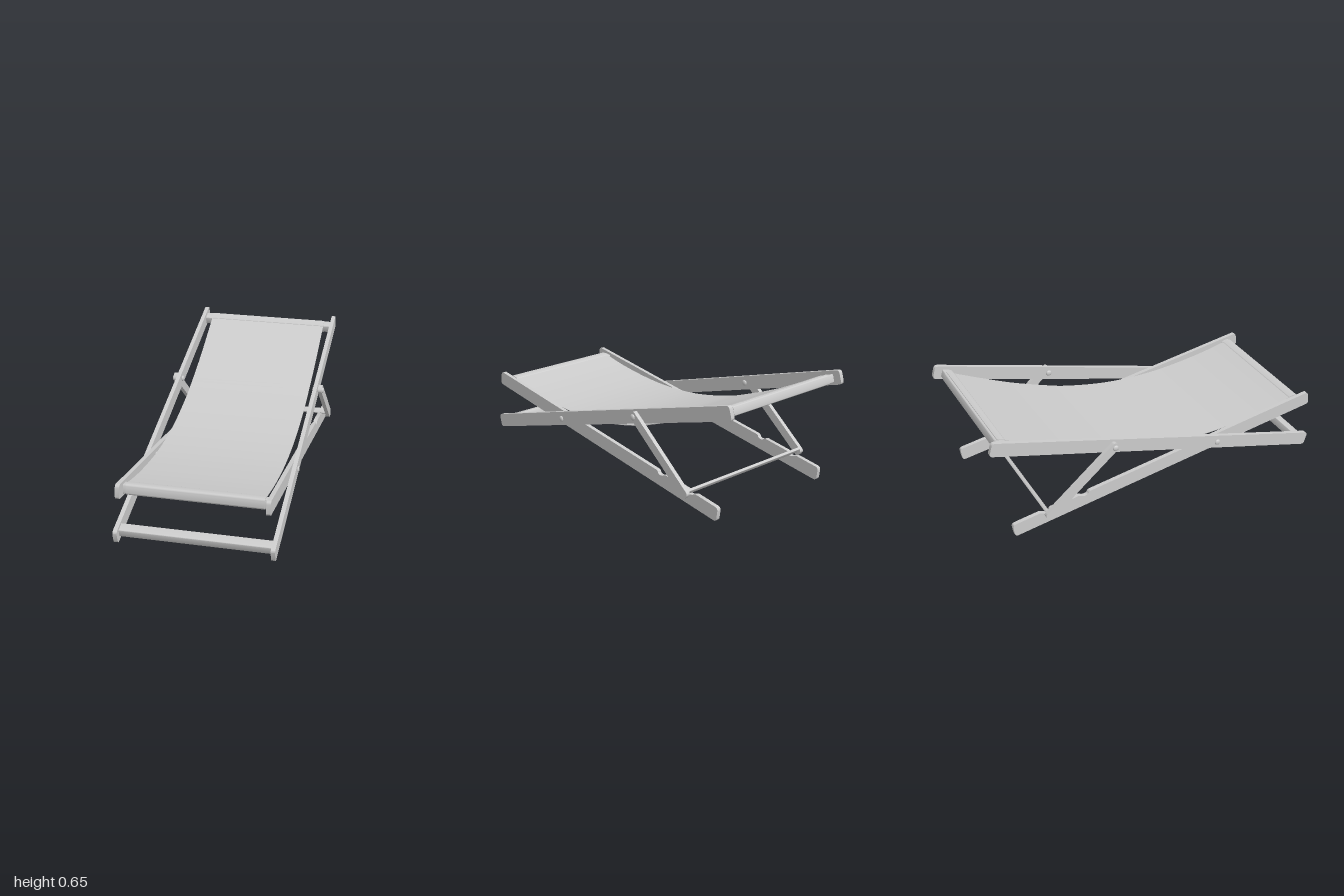
import * as THREE from 'three';
import { toCreasedNormals } from 'three/addons/utils/BufferGeometryUtils.js';

const material = new THREE.MeshStandardMaterial({ color: 0xcccccc });

// Side profile (shape x = model z, shape y = model y) extruded across x, centred at x.
function slab(name, shape, x, thickness, angle = 0, z = 0, y = 0) {
  const geo = new THREE.ExtrudeGeometry(shape, { depth: thickness, bevelEnabled: false, curveSegments: 6 });
  geo.translate(0, 0, -thickness / 2);
  geo.rotateZ(angle);
  geo.rotateY(-Math.PI / 2);
  geo.translate(x, y, z);
  const mesh = new THREE.Mesh(toCreasedNormals(geo, 0.6), material);
  mesh.name = name;
  return mesh;
}

// Rounded rectangle, with optional notches cut in its top edge.
function plank(length, width, r, notches = []) {
  const a = length / 2, b = width / 2, s = new THREE.Shape();
  s.moveTo(-a + r, -b);
  s.lineTo(a - r, -b);
  s.quadraticCurveTo(a, -b, a, -b + r);
  s.lineTo(a, b - r);
  s.quadraticCurveTo(a, b, a - r, b);
  for (const u of notches) {
    s.lineTo(u + 0.036, b);
    s.quadraticCurveTo(u + 0.026, b, u + 0.022, b - 0.012);
    s.quadraticCurveTo(u + 0.01, b - 0.022, u - 0.012, b - 0.014);
    s.quadraticCurveTo(u - 0.022, b - 0.006, u - 0.036, b);
  }
  s.lineTo(-a + r, b);
  s.quadraticCurveTo(-a, b, -a, b - r);
  s.lineTo(-a, -b + r);
  s.quadraticCurveTo(-a, -b, -a + r, -b);
  return s;
}

// Plank running from the back point to the front point, both given as [z, y].
function rail(name, back, front, width, x, notchZ = []) {
  const dz = front[0] - back[0], dy = front[1] - back[1];
  const angle = Math.atan2(dy, dz);
  const z = (front[0] + back[0]) / 2, y = (front[1] + back[1]) / 2;
  const notches = notchZ.map((n) => (n - z) / Math.cos(angle));
  return slab(name, plank(Math.hypot(dz, dy), width, 0.02, notches), x, 0.023, angle, z, y);
}

// Pivot bolt with domed heads on both sides
function bolt(name, x, y, z, half) {
  const group = new THREE.Group();
  group.name = name;
  const shaft = new THREE.Mesh(new THREE.CylinderGeometry(0.009, 0.009, half * 2, 12).rotateZ(Math.PI / 2), material);
  group.add(shaft);
  for (const s of [-1, 1]) {
    const head = new THREE.Mesh(new THREE.SphereGeometry(0.017, 16, 10).scale(0.5, 1, 1), material);
    head.position.x = s * half;
    group.add(head);
  }
  group.position.set(x, y, z);
  return group;
}

// Hanging cloth: thin strip following a sagging curve
function sling() {
  const curve = new THREE.SplineCurve([
    [-0.928, 0.634], [-0.75, 0.546], [-0.57, 0.461], [-0.38, 0.386], [-0.2, 0.326],
    [0.08, 0.271], [0.38, 0.258], [0.68, 0.286], [0.925, 0.333],
  ].map(([z, y]) => new THREE.Vector2(z, y)));
  const top = [], bottom = [];
  for (let i = 0; i <= 48; i++) {
    const p = curve.getPoint(i / 48), t = curve.getTangent(i / 48);
    const n = new THREE.Vector2(-t.y, t.x).multiplyScalar(0.002);
    top.push(p.clone().add(n));
    bottom.push(p.clone().sub(n));
  }
  return slab('slingCloth', new THREE.Shape([...bottom, ...top.reverse()]), 0, 0.72);
}

export function createModel() {
  const model = new THREE.Group();
  const backTilt = Math.atan2(-0.582, 1.97), seatTilt = Math.atan2(0.27, 1.875);
  const propTilt = Math.atan2(0.345, 0.42);

  for (const s of [1, -1]) {
    const side = s > 0 ? 'left' : 'right';
    // Crossing side rails and the prop arms outside them
    model.add(
      rail(side + 'BackrestRail', [-0.987, 0.625], [0.987, 0.043], 0.078, s * 0.4135),
      rail(side + 'SeatRail', [-0.885, 0.045], [0.995, 0.316], 0.079, s * 0.3885, [-0.46, -0.69]),
      rail(side + 'PropArm', [-0.708, 0.097], [-0.285, 0.442], 0.05, s * 0.4395),
      bolt(side + 'RailPivot', s * 0.4, 0.226, 0.36, 0.026),
      bolt(side + 'PropPivot', s * 0.426, 0.424, -0.3, 0.026),
    );
  }

  // Crossbars
  model.add(
    slab('topCrossbar', plank(0.055, 0.044, 0.005), 0, 0.806, backTilt, -0.917, 0.602),
    slab('footCrossbar', plank(0.055, 0.044, 0.005), 0, 0.806, backTilt, 0.93, 0.063),
    slab('seatCrossbar', plank(0.05, 0.05, 0.008), 0, 0.758, seatTilt, 0.912, 0.303),
    slab('propCrossbar', plank(0.015, 0.033, 0.003), 0, 0.86, propTilt, -0.695, 0.118),
  );

  // Cloth and its hems around the end bars
  model.add(
    sling(),
    slab('topHem', plank(0.062, 0.052, 0.012), 0, 0.72, backTilt, -0.917, 0.602),
    slab('frontHem', plank(0.062, 0.06, 0.018), 0, 0.72, seatTilt, 0.914, 0.304),
  );
  return model;
}
